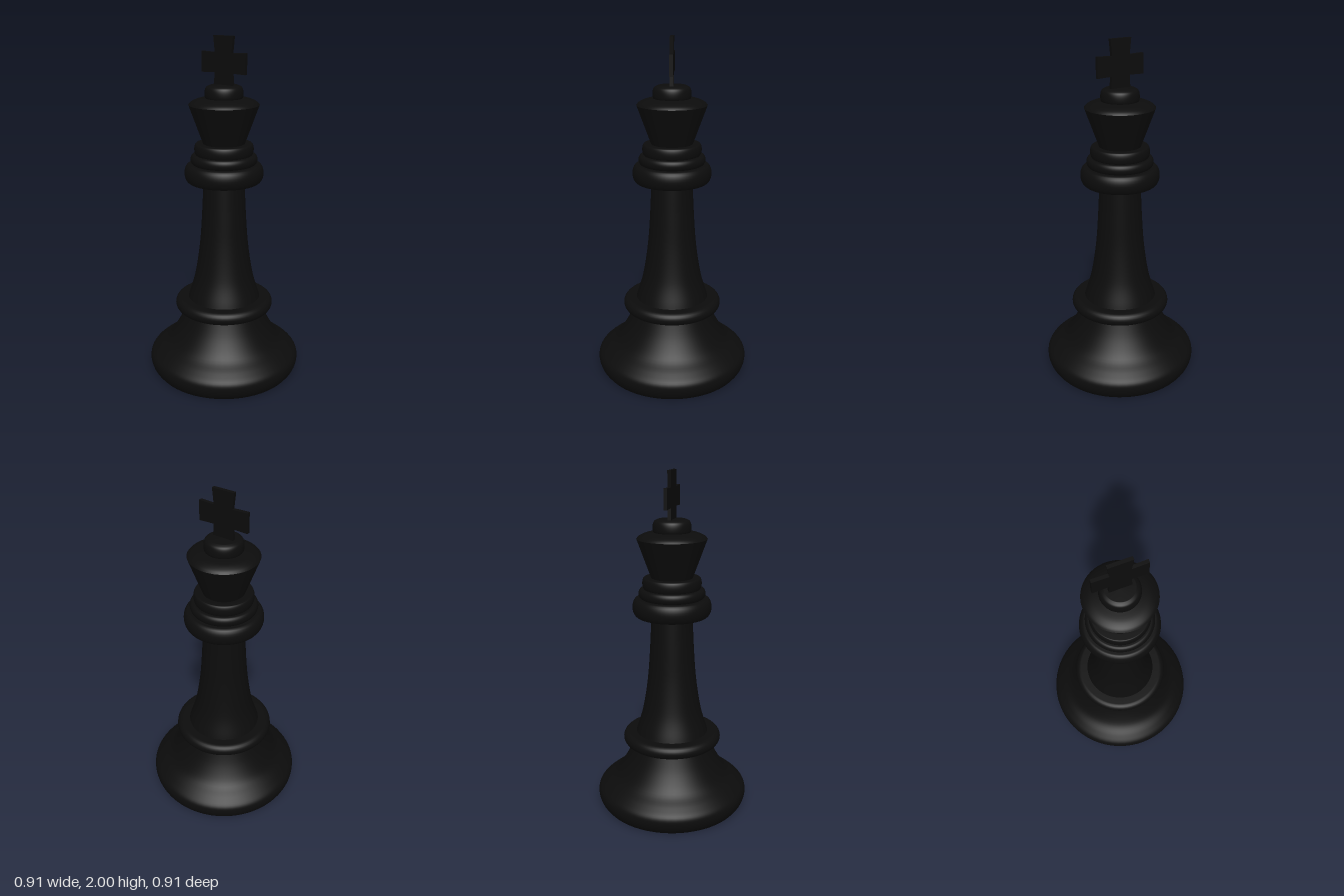
import * as THREE from 'three';

export function createModel() {
  const model = new THREE.Group();
  const ebony = new THREE.MeshStandardMaterial({ color: 0x0c0c0c });
  ebony.name = 'ebony black';

  const add = (name, geometry) => {
    const mesh = new THREE.Mesh(geometry, ebony);
    mesh.name = name;
    model.add(mesh);
    return mesh;
  };

  // Turned part from [radius, height] points, bottom to top
  const turn = (name, points) =>
    add(name, new THREE.LatheGeometry(points.map(([r, y]) => new THREE.Vector2(r, y)), 64));

  // Smooth profile through a few points
  const smooth = (points, n) =>
    new THREE.SplineCurve(points.map(([r, y]) => new THREE.Vector2(r, y)))
      .getPoints(n).map((p) => [p.x, p.y]);

  // Collar with a rounded rim and flat faces
  const collar = (name, inner, radius, y0, y1, bulge) => {
    const rim = [];
    for (let i = 0; i <= 12; i++) {
      const a = -Math.PI / 2 + (Math.PI * i) / 12;
      rim.push([radius - bulge + bulge * Math.cos(a), (y0 + y1) / 2 + ((y1 - y0) / 2) * Math.sin(a)]);
    }
    turn(name, [[inner, y0], ...rim, [inner, y1]]);
  };

  // Foot
  turn('footUnderside', [[0, 0], [0.42, 0]]);
  turn('foot', smooth([[0.42, 0], [0.442, 0.03], [0.453, 0.07], [0.444, 0.11], [0.4, 0.15],
    [0.335, 0.2], [0.276, 0.29], [0.232, 0.39], [0.222, 0.43]], 40));
  collar('lowerCollar', 0.19, 0.292, 0.39, 0.465, 0.035);

  // Stem
  turn('stem', smooth([[0.222, 0.44], [0.21, 0.48], [0.172, 0.61], [0.143, 0.8],
    [0.128, 1.0], [0.119, 1.2]], 32));

  // Stacked neck collars
  collar('neckCollarLarge', 0.1, 0.228, 1.18, 1.287, 0.03);
  collar('neckCollarMiddle', 0.1, 0.192, 1.285, 1.342, 0.02);
  collar('neckCollarSmall', 0.1, 0.17, 1.34, 1.405, 0.012);

  // Flared crown with a shallow sloping top
  turn('crown', [[0.118, 1.4], [0.2, 1.625]]);
  turn('crownTop', smooth([[0.2, 1.625], [0.185, 1.64], [0.15, 1.655], [0.1, 1.663]], 12));

  // Button under the cross
  turn('crownButton', [...smooth([[0.1, 1.655], [0.108, 1.67], [0.108, 1.7], [0.1, 1.722],
    [0.08, 1.733]], 20), [0, 1.735]]);

  // Thin cross, slightly pinched around the arms
  const half = [[0.062, 1.72], [0.058, 1.8], [0.147, 1.797], [0.147, 1.912], [0.056, 1.909], [0.066, 2]];
  const outline = [...half, ...half.map(([x, y]) => [-x, y]).reverse()];
  const shape = new THREE.Shape(outline.map(([x, y]) => new THREE.Vector2(x, y)));
  const cross = new THREE.ExtrudeGeometry(shape, { depth: 0.02, bevelEnabled: false });
  cross.translate(0, 0, -0.01);
  add('cross', cross);

  return model;
}
